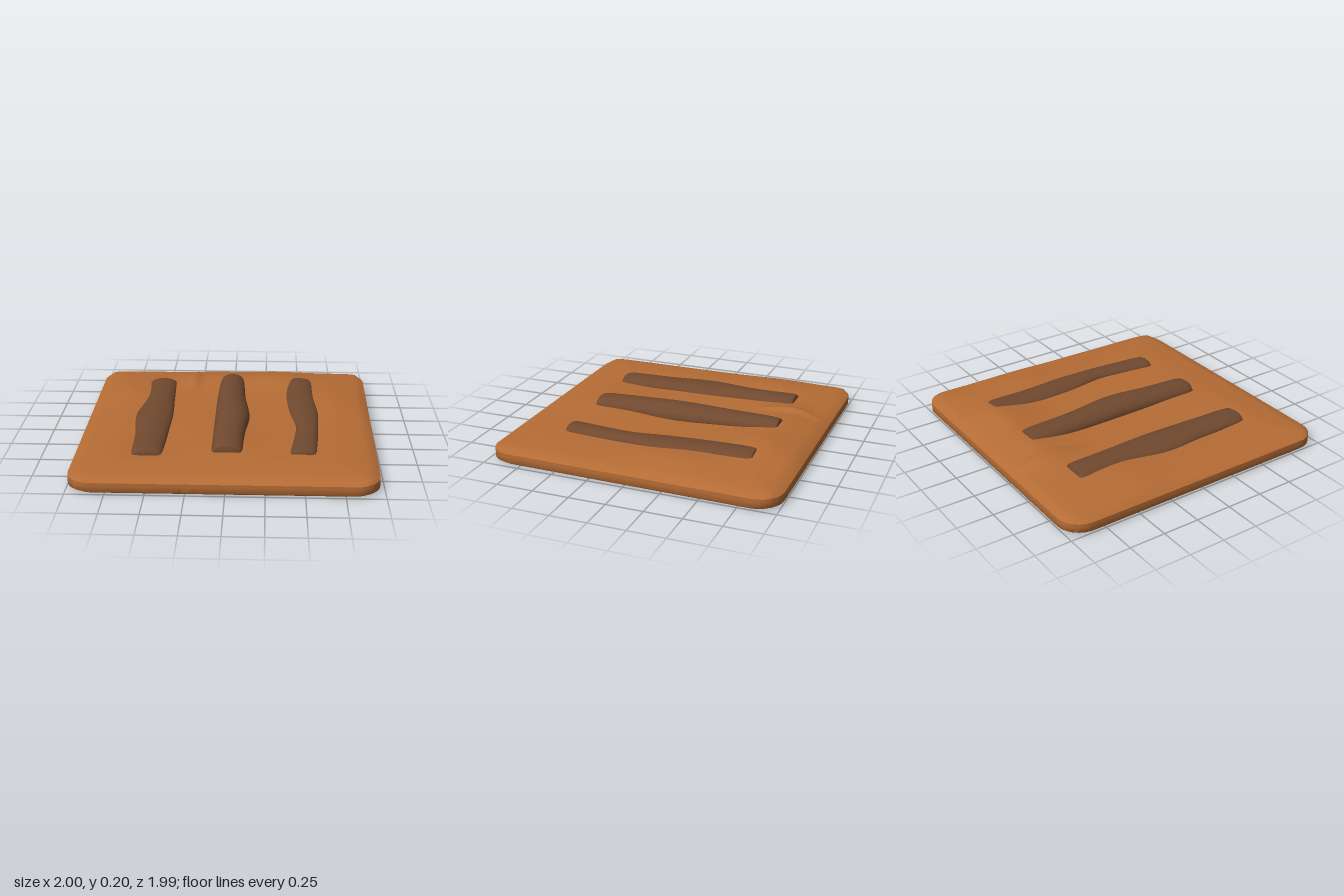
import * as THREE from 'three';

const clay = new THREE.MeshStandardMaterial({ color: 0xb56c35 });
clay.name = 'orange wood';
const bark = new THREE.MeshStandardMaterial({ color: 0x70492f });
bark.name = 'dark wood';

const smooth = (t) => THREE.MathUtils.smoothstep(t, 0, 1);
const bump = (x, z, cx, cz, w, h) => h * Math.exp(-((x - cx) ** 2 + (z - cz) ** 2) / (w * w));

// Height of the uneven top of the slab
function topHeight(x, z) {
  let y = 0.122;
  y += bump(x, z, -0.8, -0.45, 0.25, 0.025);
  y += bump(x, z, -0.1, -0.75, 0.22, 0.03);
  y += bump(x, z, 0.33, -0.75, 0.25, 0.045);
  y += bump(x, z, 0.77, -0.3, 0.28, 0.02);
  y += bump(x, z, 0, 0.5, 0.3, 0.012);
  y -= bump(x, z, -0.52, 0.4, 0.22, 0.012);
  // lip of the crack
  if (x < -0.271) y += 0.035 * Math.exp((x + 0.271) / 0.08) * smooth((-0.4 - z) / 0.3) * smooth((z + 0.96) / 0.15);
  // fall-off towards the rim
  const d = 1 - Math.max(Math.abs(x), Math.abs(z));
  const rise = 0.6 * Math.min(1, d / 0.05) + 0.4 * smooth(d / 0.3);
  return 0.08 + (y - 0.08) * rise;
}

// Rounded square slab: a subdivided box moved by rule
function makeSlab() {
  const geo = new THREE.BoxGeometry(2, 3, 2, 50, 3, 50);
  const p = geo.attributes.position;
  const levels = [0.006, 0.022, 0.06, 0.08];
  const r = 0.16;
  for (let i = 0; i < p.count; i++) {
    let x = p.getX(i), z = p.getZ(i);
    const level = Math.round(p.getY(i) + 1.5);
    // pull two columns together at the crack
    if (Math.abs(x + 0.28) < 0.01) x = -0.273;
    else if (Math.abs(x + 0.24) < 0.01) x = -0.269;
    const y = level === 3 ? topHeight(x, z) : levels[level];
    // round the corners
    const a = (Math.abs(x) - 1 + r) / r, b = (Math.abs(z) - 1 + r) / r;
    if (a > 0 && b > 0) {
      x = Math.sign(x) * (1 - r + r * a * Math.sqrt(1 - b * b / 2));
      z = Math.sign(z) * (1 - r + r * b * Math.sqrt(1 - a * a / 2));
    }
    // narrow the base, and taper the right rim towards the front
    const s = level === 0 ? 0.98 : 1;
    if (x > 0) x *= 0.985 - 0.015 * z;
    p.setXYZ(i, x * s, y, z * s * (z > 0 ? 0.99 : 1));
  }
  geo.computeVertexNormals();
  return geo;
}

// Half-buried log from sections [z, left edge, right edge, top], back to front
function makeLog(rows, base) {
  const edge = (k) => new THREE.CatmullRomCurve3(
    rows.map((s) => new THREE.Vector3(s[k], s[3], s[0])), false, 'catmullrom', 0.5);
  const low = edge(1), high = edge(2);
  const n = 24, m = 24, pos = [], idx = [];
  const ring = (t, scale, dz) => {
    const A = low.getPoint(t), B = high.getPoint(t);
    const cx = (A.x + B.x) / 2, hw = (B.x - A.x) / 2 * scale;
    for (let j = 0; j < m; j++) {
      const a = j / m * Math.PI * 2;
      pos.push(cx + hw * Math.cos(a), base + (A.y - base) * scale * Math.sin(a), A.z + dz);
    }
  };
  // rounded ends around the long body
  ring(0, 0.01, 0); ring(0, 0.8, 0); ring(0, 0.94, 0.012);
  for (let i = 1; i < n; i++) ring(i / n, 1, 0);
  ring(1, 0.94, -0.012); ring(1, 0.8, 0); ring(1, 0.01, 0);
  const rings = pos.length / 3 / m;
  for (let i = 0; i < rings - 1; i++) {
    for (let j = 0; j < m; j++) {
      const a = i * m + j, b = i * m + (j + 1) % m;
      idx.push(a, b, a + m, b, b + m, a + m);
    }
  }
  const geo = new THREE.BufferGeometry();
  geo.setAttribute('position', new THREE.Float32BufferAttribute(pos, 3));
  geo.setIndex(idx);
  geo.computeVertexNormals();
  return geo;
}

export function createModel() {
  const group = new THREE.Group();
  group.name = 'slab with logs';
  const add = (name, geo, mat) => {
    const mesh = new THREE.Mesh(geo, mat);
    mesh.name = name;
    group.add(mesh);
  };
  add('slab', makeSlab(), clay);
  add('rightLog', makeLog([
    [-0.685, -0.635, -0.42, 0.16], [-0.35, -0.62, -0.415, 0.165], [-0.02, -0.665, -0.4, 0.167],
    [0.3, -0.635, -0.41, 0.162], [0.655, -0.625, -0.42, 0.157]], 0.11), bark);
  add('middleLog', makeLog([
    [-0.72, -0.095, 0.085, 0.187], [-0.35, -0.105, 0.1, 0.195], [-0.01, -0.105, 0.135, 0.21],
    [0.3, -0.105, 0.11, 0.198], [0.62, -0.105, 0.1, 0.183]], 0.125), bark);
  add('leftLog', makeLog([
    [-0.705, 0.39, 0.6, 0.165], [-0.4, 0.395, 0.6, 0.162], [-0.1, 0.415, 0.62, 0.16],
    [0.15, 0.455, 0.61, 0.16], [0.35, 0.44, 0.6, 0.157], [0.615, 0.405, 0.58, 0.155]], 0.118), bark);
  return group;
}
